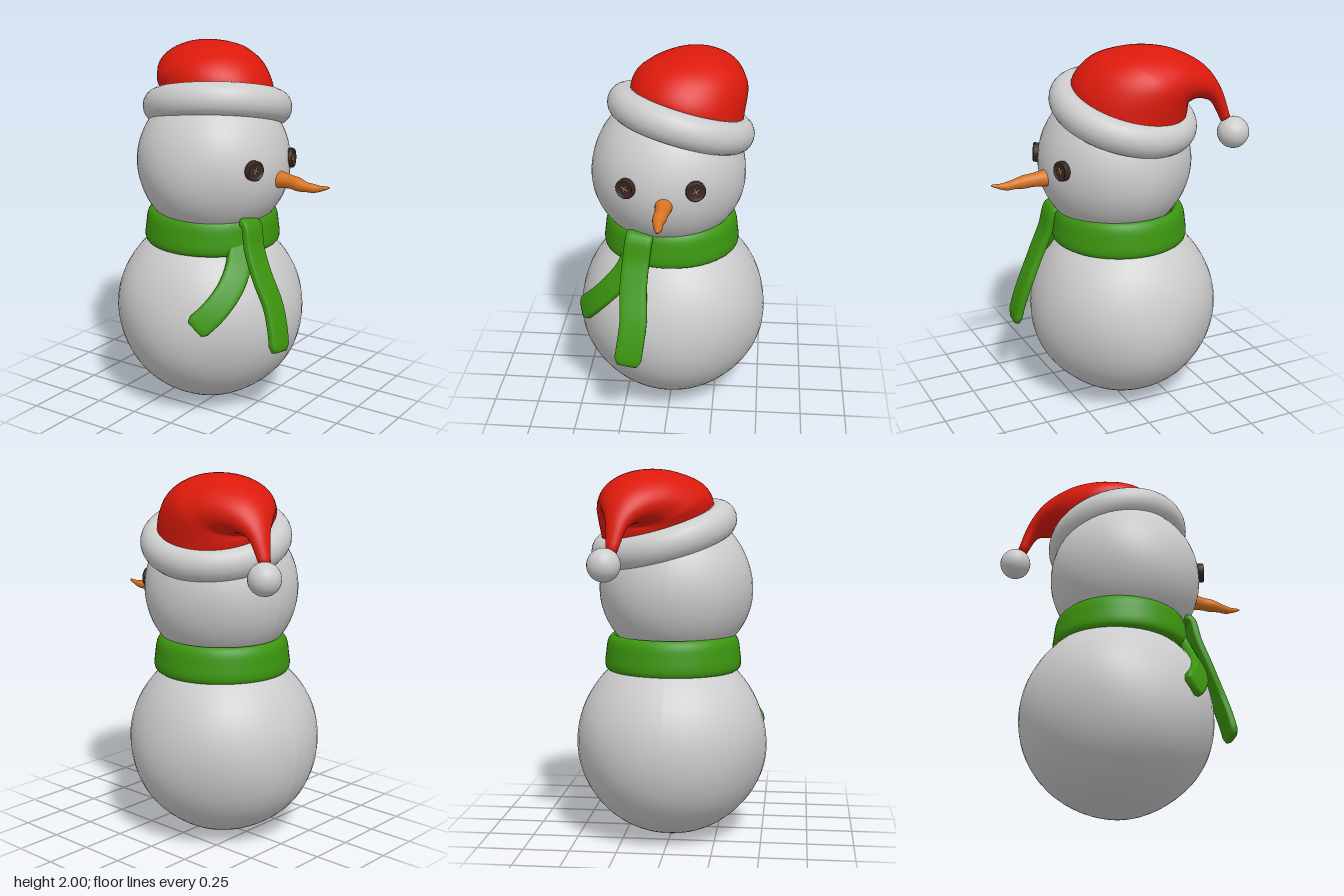
import * as THREE from 'three';

const V = (x, y, z) => new THREE.Vector3(x, y, z);
const UP = V(0, 1, 0);

function mesh(name, geometry, color = 0xcccccc) {
  const m = new THREE.Mesh(geometry, new THREE.MeshStandardMaterial({ color }));
  m.name = name;
  return m;
}

// Skin over a list of closed rings (arrays of Vector3), capped at both ends
function loft(rings) {
  const n = rings[0].length, pos = [], idx = [];
  rings.forEach(r => r.forEach(p => pos.push(p.x, p.y, p.z)));
  for (let i = 0; i < rings.length - 1; i++) {
    for (let j = 0; j < n; j++) {
      const a = i * n + j, b = i * n + (j + 1) % n;
      idx.push(a, b, b + n, a, b + n, a + n);
    }
  }
  [0, rings.length - 1].forEach((i, end) => {
    const c = rings[i].reduce((s, p) => s.add(p), V(0, 0, 0)).divideScalar(n);
    const k = pos.length / 3;
    pos.push(c.x, c.y, c.z);
    for (let j = 0; j < n; j++) {
      const a = i * n + j, b = i * n + (j + 1) % n;
      if (end) idx.push(k, a, b); else idx.push(k, b, a);
    }
  });
  const g = new THREE.BufferGeometry();
  g.setAttribute('position', new THREE.Float32BufferAttribute(pos, 3));
  g.setIndex(idx);
  g.computeVertexNormals();
  return g;
}

// Sweep a rounded section along points; size(t) gives [half width, half thickness]
function sweep(points, out, size, power, steps = 28, sides = 24) {
  const curve = new THREE.CatmullRomCurve3(points);
  const soft = v => Math.sign(v) * Math.pow(Math.abs(v), power);
  const rings = [];
  for (let i = 0; i <= steps; i++) {
    const t = i / steps, p = curve.getPoint(t), tan = curve.getTangent(t);
    const a = out(p).cross(tan).normalize();
    const b = tan.clone().cross(a).normalize();
    const [w, h] = size(t);
    rings.push(Array.from({ length: sides }, (_, j) => {
      const q = j / sides * Math.PI * 2;
      return p.clone().addScaledVector(a, w * soft(Math.cos(q))).addScaledVector(b, h * soft(Math.sin(q)));
    }));
  }
  return loft(rings);
}

// Slightly uneven snowball
function snowball(name, r, center, amount) {
  const g = new THREE.SphereGeometry(r, 48, 36), p = g.attributes.position, v = V(0, 0, 0);
  for (let i = 0; i < p.count; i++) {
    v.fromBufferAttribute(p, i);
    const d = v.clone().divideScalar(r);
    v.multiplyScalar(1 + amount * Math.sin(4 * d.x + 1) * Math.sin(4 * d.y) * Math.cos(3 * d.z));
    p.setXYZ(i, v.x, v.y, v.z);
  }
  g.computeVertexNormals();
  const m = mesh(name, g);
  m.position.copy(center);
  return m;
}

// Hat: rings span an outer and an inner profile, both drooping towards the tip
function hatGeometry() {
  const h = V(-0.94, 0, -0.33), s = V(0.33, 0, -0.94), base = V(-0.06, 0, -0.07);
  // outer t, outer y, inner t, inner y, half width
  const rows = [
    [-0.30, 1.72, 0.30, 1.58, 0.30], [-0.28, 1.83, 0.325, 1.65, 0.305],
    [-0.19, 1.93, 0.33, 1.68, 0.305], [-0.05, 1.985, 0.33, 1.70, 0.29],
    [0.10, 2.0, 0.34, 1.71, 0.25], [0.26, 1.975, 0.37, 1.72, 0.195],
    [0.42, 1.89, 0.41, 1.715, 0.125], [0.51, 1.77, 0.46, 1.69, 0.065],
    [0.57, 1.60, 0.52, 1.58, 0.03],
  ];
  const outer = new THREE.CatmullRomCurve3(rows.map(r => V(r[0], r[1], r[4])));
  const inner = new THREE.CatmullRomCurve3(rows.map(r => V(r[2], r[3], r[4])));
  const rings = [], steps = 40, sides = 48;
  for (let i = 0; i <= steps; i++) {
    const t = i / steps, P = outer.getPoint(t), Q = inner.getPoint(t);
    const slope = -0.21 * Math.max(0, 1 - t * 2.5);
    rings.push(Array.from({ length: sides }, (_, j) => {
      const q = j / sides * Math.PI * 2, k = (1 + Math.cos(q)) / 2, w = P.z * Math.sin(q);
      const p = base.clone().addScaledVector(h, Q.x + (P.x - Q.x) * k).addScaledVector(s, w);
      p.y = Q.y + (P.y - Q.y) * k + slope * w;
      return p;
    }));
  }
  return loft(rings);
}

// Button eye with a raised rim and crossed stitches, facing local +y
function button(name, position, facing) {
  const g = new THREE.Group();
  g.name = name;
  const profile = [[0, -0.02], [0.046, -0.02], [0.053, -0.012], [0.053, 0.012], [0.048, 0.018],
    [0.042, 0.016], [0.038, 0.009], [0, 0.009]].map(p => new THREE.Vector2(...p));
  g.add(mesh('buttonDisc', new THREE.LatheGeometry(profile, 32), 0x3a2621));
  for (const turn of [-1, 1]) {
    const stitch = mesh('stitch', new THREE.CapsuleGeometry(0.004, 0.036, 4, 8), 0xe0b080);
    stitch.rotation.set(Math.PI / 2, 0, turn * Math.PI / 4);
    stitch.position.y = 0.013;
    g.add(stitch);
  }
  g.position.copy(position);
  g.quaternion.setFromUnitVectors(UP, facing.normalize());
  return g;
}

export function createModel() {
  const model = new THREE.Group();
  model.name = 'snowman';
  const green = 0x3c960f, red = 0xdc1a0c, orange = 0xd87420;
  const bodyCenter = V(-0.08, 0.53, 0);

  // Snowballs
  model.add(snowball('body', 0.522, bodyCenter, 0.015));
  model.add(snowball('head', 0.418, V(-0.04, 1.37, 0.02), 0.012));

  // Hat with tilted fur brim and pompom
  model.add(mesh('hat', hatGeometry(), red));
  const brim = mesh('hatBrim', new THREE.TorusGeometry(0.325, 0.08, 20, 64));
  brim.scale.z = 1.12;
  brim.position.set(-0.06, 1.65, -0.045);
  brim.quaternion.setFromUnitVectors(V(0, 0, 1), V(-0.17, 1, -0.28).normalize());
  model.add(brim);
  const pompom = mesh('pompom', new THREE.SphereGeometry(0.086, 32, 20));
  pompom.position.set(-0.6, 1.525, -0.285);
  model.add(pompom);

  // Button eyes
  model.add(button('leftEye', V(0.345, 1.4, -0.15), V(1, 0.05, -0.3)));
  model.add(button('rightEye', V(0.34, 1.4, 0.21), V(1, 0.05, 0.38)));

  // Carrot nose
  const noseRadius = t => 0.043 * Math.pow(1 - t, 0.7) * (1 + 0.06 * Math.sin(t * 20)) + 0.003;
  model.add(mesh('nose', sweep(
    [V(0.33, 1.32, 0.01), V(0.45, 1.315, 0.015), V(0.53, 1.305, 0.025), V(0.6, 1.302, 0.018), V(0.675, 1.318, 0.018)],
    () => UP.clone(), t => [noseRadius(t), noseRadius(t)], 1), orange));

  // Scarf loop around the neck
  const band = new THREE.CatmullRomCurve3([[0.27, 0.95], [0.33, 0.915], [0.368, 0.935], [0.366, 1.02],
    [0.352, 1.09], [0.325, 1.115], [0.295, 1.09], [0.28, 1.02]].map(p => V(p[0], p[1], 0)), true);
  const scarf = mesh('scarfLoop', new THREE.LatheGeometry(
    band.getPoints(32).map(p => new THREE.Vector2(p.x, p.y)), 64), green);
  scarf.position.set(-0.06, 0, 0.005);
  model.add(scarf);

  // Two hanging scarf ends
  const strip = (w, h) => t => {
    const e = Math.min(1, 0.75 + Math.min(t, 1 - t) * 5);
    return [w * e, h * e];
  };
  model.add(mesh('scarfEndFront', sweep(
    [V(0.25, 1.1, 0.145), V(0.285, 1.09, 0.15), V(0.315, 0.97, 0.165), V(0.37, 0.83, 0.175),
      V(0.44, 0.67, 0.17), V(0.48, 0.54, 0.185), V(0.5, 0.435, 0.2)],
    () => V(1, 0.3, 0.05), strip(0.073, 0.024), 0.5, 36), green));
  model.add(mesh('scarfEndSide', sweep(
    [V(0.23, 1.0, 0.17), V(0.26, 0.88, 0.23), V(0.26, 0.77, 0.315), V(0.22, 0.665, 0.405), V(0.15, 0.575, 0.48)],
    p => p.clone().sub(bodyCenter), strip(0.068, 0.026), 0.5, 36), green));

  return model;
}
